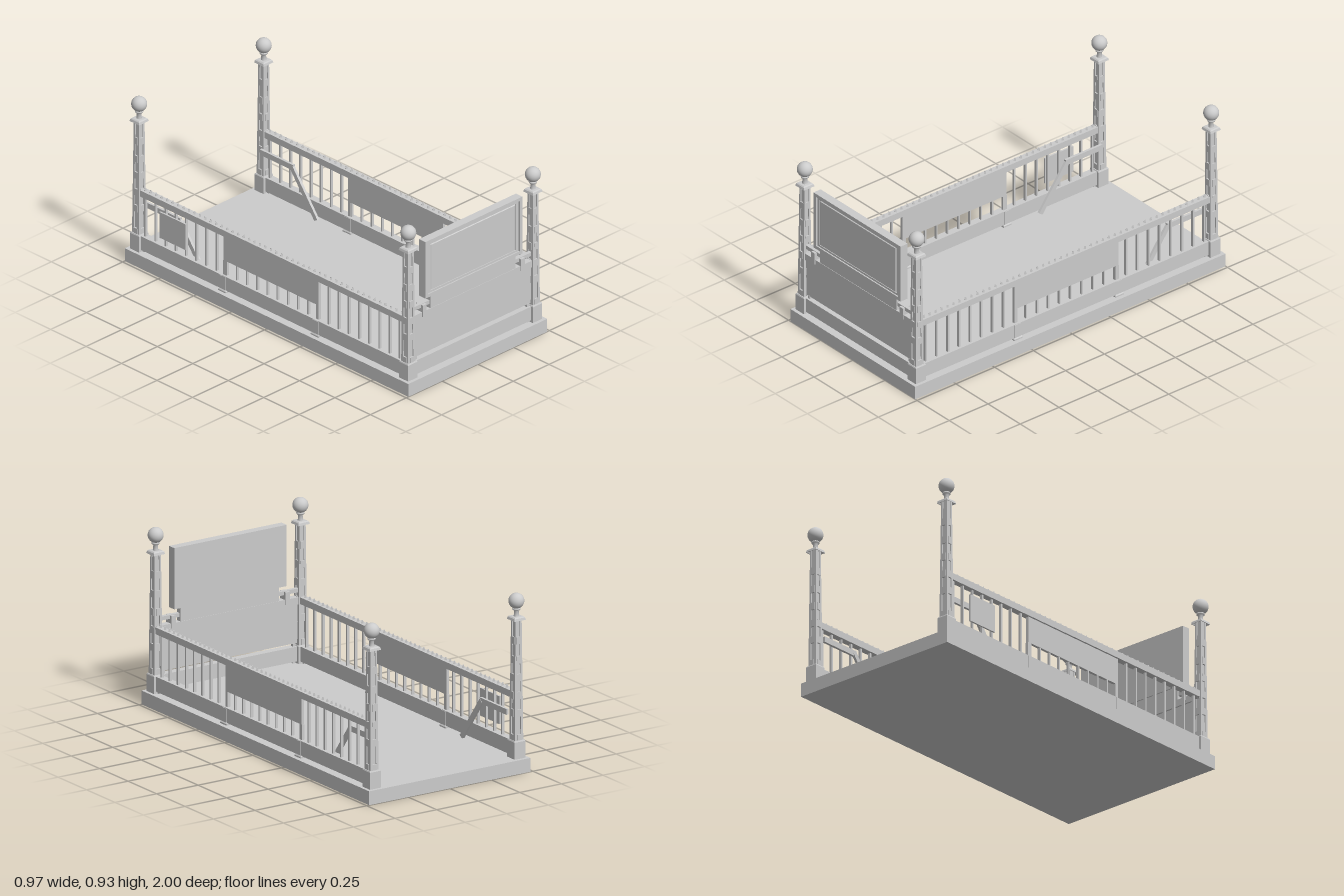
import * as THREE from 'three';

const mat = new THREE.MeshStandardMaterial({ color: 0xcccccc, side: THREE.DoubleSide });
const flat = new THREE.MeshStandardMaterial({ color: 0xcccccc, side: THREE.DoubleSide, flatShading: true });

function add(parent, name, geometry, x = 0, y = 0, z = 0, material = mat) {
  const m = new THREE.Mesh(geometry, material);
  m.name = name;
  m.position.set(x, y, z);
  parent.add(m);
  return m;
}

// box given by its limits on each axis
function box(parent, name, [x0, x1], [y0, y1], [z0, z1]) {
  return add(parent, name, new THREE.BoxGeometry(Math.abs(x1 - x0), y1 - y0, Math.abs(z1 - z0)),
    (x0 + x1) / 2, (y0 + y1) / 2, (z0 + z1) / 2);
}

// square profile turned with four sides, radii given as half widths
function squareLathe(points) {
  const g = new THREE.LatheGeometry(points.map(([r, y]) => new THREE.Vector2(r * Math.SQRT2, y)), 4);
  return g.rotateY(Math.PI / 4);
}

const BASE = 0.072, POST_X = 0.435, POST_Z = 0.949, SHAFT_Y = 0.163, SHAFT_H = 0.64;
const halfWidth = (y) => 0.025 - 0.006 * (y - SHAFT_Y) / SHAFT_H;

// tapered shaft: square section with a shallow channel down each face
function shaftGeometry() {
  const h = 0.025, n = 0.011, d = 0.019;
  const quarter = [[h, -h], [h, -n], [d, -n], [d, n], [h, n]];
  const pts = [];
  for (let i = 0; i < 4; i++) {
    for (const [x, y] of quarter) {
      const p = new THREE.Vector2(x, y).rotateAround(new THREE.Vector2(), i * Math.PI / 2);
      pts.push(p);
    }
  }
  const g = new THREE.ExtrudeGeometry(new THREE.Shape(pts), { depth: SHAFT_H, bevelEnabled: false });
  g.rotateX(-Math.PI / 2).translate(0, SHAFT_Y, 0);
  const p = g.attributes.position;
  for (let i = 0; i < p.count; i++) {
    const s = halfWidth(p.getY(i)) / 0.025;
    p.setX(i, p.getX(i) * s);
    p.setZ(i, p.getZ(i) * s);
  }
  g.computeVertexNormals();
  return g;
}

function cornerPost(x, z) {
  const post = new THREE.Group();
  post.name = 'cornerPost';
  post.position.set(x, 0, z);
  add(post, 'plinth', squareLathe([[0, BASE], [0.0325, BASE], [0.0325, 0.16], [0.03, 0.166], [0, 0.166]]), 0, 0, 0, flat);
  add(post, 'shaft', shaftGeometry(), 0, 0, 0, flat);
  // batten plates across the channels
  for (const y of [0.177, 0.307, 0.398, 0.491, 0.584, 0.684]) {
    const w = 2 * halfWidth(y) + 0.003;
    add(post, 'batten', new THREE.BoxGeometry(w, 0.038, 0.024), 0, y, 0);
    add(post, 'batten', new THREE.BoxGeometry(0.024, 0.038, w), 0, y, 0);
  }
  // flared cap with drooping lip
  add(post, 'cap', squareLathe([[0.012, 0.808], [0.026, 0.807], [0.031, 0.802], [0.034, 0.79],
    [0.031, 0.79], [0.028, 0.799], [0.024, 0.802], [0.012, 0.803]]), 0, 0, 0, flat);
  add(post, 'neck', new THREE.LatheGeometry([[0.016, 0.8], [0.013, 0.812], [0.012, 0.835], [0.02, 0.841], [0.021, 0.848], [0.014, 0.855]]
    .map(([r, y]) => new THREE.Vector2(r, y)), 16));
  add(post, 'ball', new THREE.SphereGeometry(0.04, 32, 20), 0, 0.887, 0);
  return post;
}

// long fence on one side; s = +1 or -1
function sideFence(s) {
  const f = new THREE.Group();
  f.name = 'sideFence';
  const span = (a, b) => [s * a, s * b];
  const c = POST_X;
  box(f, 'bottomBeam', span(c - 0.02, c + 0.02), [0.083, 0.16], [-0.925, 0.925]);
  box(f, 'topRail', span(c - 0.018, c + 0.018), [0.38, 0.415], [-0.93, 0.93]);
  // crest of small studs
  for (let i = 0; i < 48; i++) {
    add(f, 'crestStud', new THREE.CylinderGeometry(0.004, 0.0085, 0.016, 4), s * c, 0.422, -0.905 + i * 0.0385, flat);
  }
  // balusters, short ones beneath the panel
  for (let i = 0; i < 26; i++) {
    const z = 0.893 - i * 0.0718;
    if (Math.abs(z + 0.01) > 0.33) box(f, 'baluster', span(c - 0.007, c + 0.007), [0.16, 0.38], [z - 0.005, z + 0.005]);
    else box(f, 'shortBaluster', span(c - 0.007, c + 0.007), [0.16, 0.24], [z - 0.004, z + 0.004]);
  }
  box(f, 'sidePanel', span(c - 0.008, c + 0.008), [0.24, 0.38], [-0.345, 0.325]);
  for (const z of [0.315, -0.338]) {
    box(f, 'panelStile', span(c - 0.008, c + 0.008), [0.16, 0.24], [z - 0.01, z + 0.01]);
    box(f, 'supportPost', span(c - 0.023, c + 0.023), [0.085, 0.158], [z - 0.02, z + 0.02]);
    add(f, 'supportFoot', squareLathe([[0.027, BASE], [0.027, 0.079], [0.02, 0.088]]), s * c, 0, z, flat);
  }
  for (const z of [0.91, -0.91]) box(f, 'endFoot', span(c - 0.01, c + 0.01), [BASE, 0.085], [z - 0.008, z + 0.008]);
  // inner stay: level bar and sloping leg
  box(f, 'stayBar', span(0.388, 0.402), [0.295, 0.325], [-0.93, -0.695]);
  const dy = 0.235, dz = 0.175;
  const leg = add(f, 'stayLeg', new THREE.BoxGeometry(0.014, Math.hypot(dy, dz), 0.025), s * 0.393, BASE + dy / 2 + 0.005, -0.62);
  leg.rotation.x = -Math.atan2(dz, dy);
  return f;
}

// front end: beam, solid panel, rail and raised board
function headEnd() {
  const h = new THREE.Group();
  h.name = 'headEnd';
  const z = POST_Z;
  box(h, 'frontBeam', [-0.41, 0.41], [0.083, 0.16], [z - 0.02, z + 0.02]);
  box(h, 'frontPanel', [-0.415, 0.415], [0.175, 0.38], [z - 0.009, z + 0.009]);
  box(h, 'frontRail', [-0.415, 0.415], [0.378, 0.415], [z - 0.018, z + 0.018]);
  for (const s of [-1, 1]) {
    box(h, 'beamFoot', [s * 0.385, s * 0.4], [BASE, 0.085], [z - 0.01, z + 0.01]);
    box(h, 'panelSpacer', [s * 0.385, s * 0.4], [0.158, 0.177], [z - 0.01, z + 0.01]);
    box(h, 'boardArm', [s * 0.29, s * 0.42], [0.438, 0.458], [z - 0.01, z + 0.01]);
    box(h, 'armClamp', [s * 0.33, s * 0.356], [0.39, 0.455], [z - 0.024, z + 0.024]);
  }
  box(h, 'boardFoot', [-0.297, 0.297], [0.41, 0.49], [z - 0.016, z + 0.016]);
  box(h, 'board', [-0.338, 0.338], [0.487, 0.806], [z - 0.022, z + 0.013]);
  // raised frames around the board face
  const frame = (name, w, hgt, t, depth, zz) => {
    const ring = new THREE.Shape([[-w, -hgt], [w, -hgt], [w, hgt], [-w, hgt]].map(([a, b]) => new THREE.Vector2(a, b)));
    const [iw, ih] = [w - t, hgt - t];
    ring.holes.push(new THREE.Path([[-iw, -ih], [-iw, ih], [iw, ih], [iw, -ih]].map(([a, b]) => new THREE.Vector2(a, b))));
    add(h, name, new THREE.ExtrudeGeometry(ring, { depth, bevelEnabled: false }), 0, 0.6465, zz);
  };
  frame('boardFrame', 0.338, 0.1595, 0.018, 0.012, z + 0.012);
  frame('innerMoulding', 0.317, 0.1465, 0.016, 0.005, z + 0.012);
  // raised field with sloping edges
  const field = squareLathe([[1, 0], [0.965, 0.006], [0, 0.006]]);
  field.rotateX(Math.PI / 2).scale(0.3, 0.13, 1);
  add(h, 'boardField', field, 0, 0.6465, z + 0.013, flat);
  return h;
}

export function createModel() {
  const g = new THREE.Group();
  g.name = 'graveSurround';
  box(g, 'baseSlab', [-0.485, 0.485], [0, BASE], [-1, 1]);
  for (const s of [-1, 1]) {
    for (const t of [-1, 1]) g.add(cornerPost(s * POST_X, t * POST_Z));
    g.add(sideFence(s));
  }
  g.add(headEnd());
  // small plate fixed to the right fence
  box(g, 'fencePlate', [-0.452, -0.443], [0.2, 0.345], [-0.79, -0.605]);
  return g;
}
